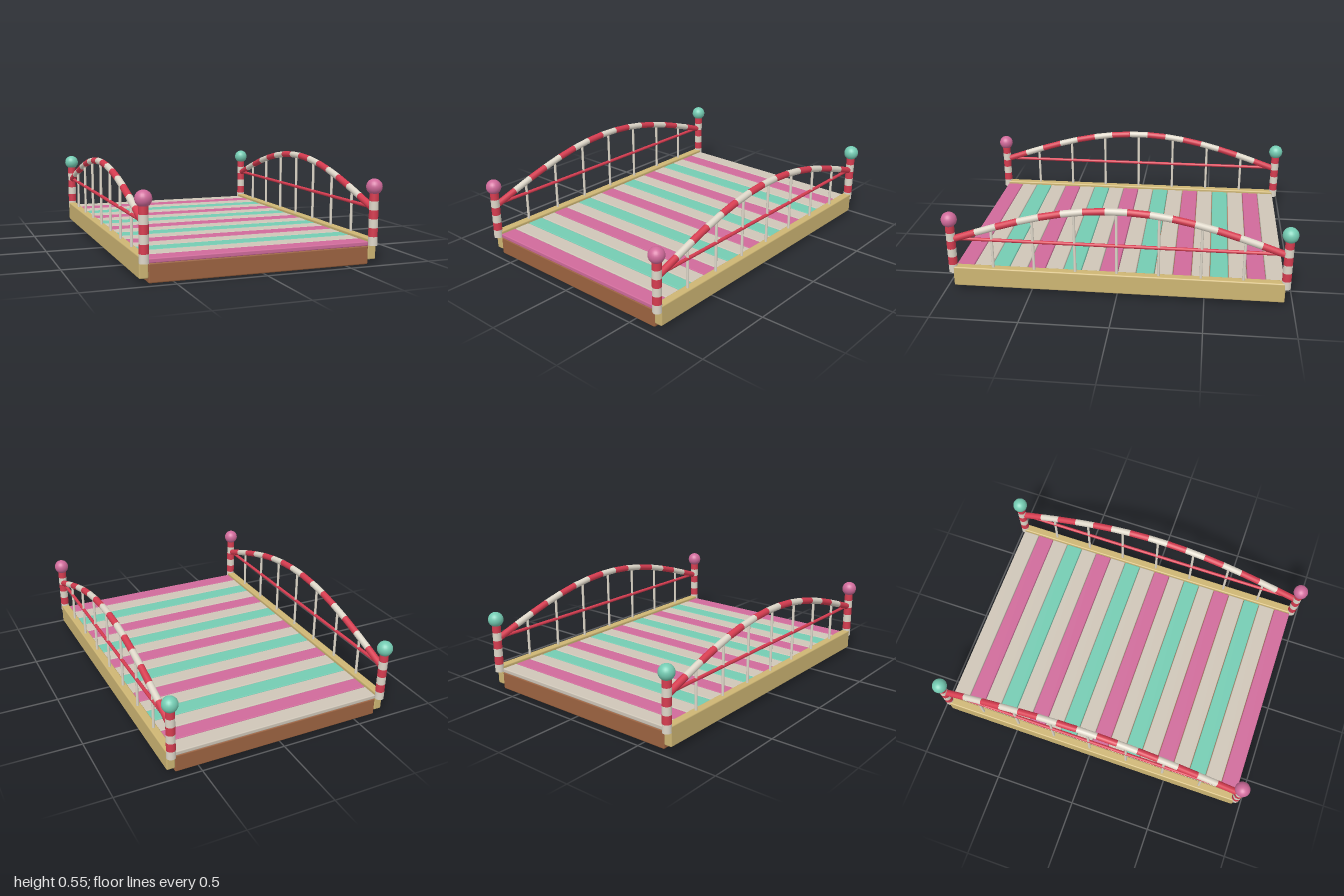
import * as THREE from 'three';
import { RoundedBoxGeometry } from 'three/addons/geometries/RoundedBoxGeometry.js';

const material = (name, color) => {
  const m = new THREE.MeshStandardMaterial({ color });
  m.name = name;
  return m;
};

export function createModel() {
  const brown = material('brown wood', 0x9c6340);
  const tan = material('tan wood', 0xcdb573);
  const beige = material('beige paint', 0xcec5b7);
  const pink = material('pink paint', 0xcf6a9a);
  const teal = material('teal paint', 0x74cbb2);
  const red = material('red stripe', 0xd63c50);
  const cream = material('cream stripe', 0xddd6c8);

  const model = new THREE.Group();
  model.name = 'bridgeSection';

  const add = (parent, name, geometry, mat, x, y, z) => {
    const mesh = new THREE.Mesh(geometry, mat);
    mesh.name = name;
    mesh.position.set(x, y, z);
    parent.add(mesh);
    return mesh;
  };
  // Cylinder running between two points
  const rod = (parent, name, a, b, radius, mat) => {
    const dir = b.clone().sub(a);
    const mid = a.clone().add(b).multiplyScalar(0.5);
    const mesh = add(parent, name, new THREE.CylinderGeometry(radius, radius, dir.length(), 16), mat, mid.x, mid.y, mid.z);
    mesh.quaternion.setFromUnitVectors(new THREE.Vector3(0, 1, 0), dir.normalize());
    return mesh;
  };

  // Base under the planks
  add(model, 'base', new RoundedBoxGeometry(1.27, 0.106, 1.9, 2, 0.008), brown, 0, 0.053, 0);

  // Deck of painted planks, counted from the front
  const deck = new THREE.Group();
  deck.name = 'deck';
  model.add(deck);
  const planks = 18;
  const pitch = 1.9 / planks;
  const plankColors = [pink, beige, teal, beige];
  for (let i = 0; i < planks; i++) {
    add(deck, 'plank', new RoundedBoxGeometry(1.27, 0.026, pitch - 0.003, 2, 0.006),
      plankColors[i % 4], 0, 0.117, 0.95 - pitch * (i + 0.5));
  }

  // Railings on both sides
  const archY = z => 0.32 + 0.21 * Math.cos((z / 0.93) * Math.PI / 2);
  for (const side of [-1, 1]) {
    const railing = new THREE.Group();
    railing.name = side > 0 ? 'leftRailing' : 'rightRailing';
    railing.position.x = side * 0.659;
    model.add(railing);
    const at = (y, z) => new THREE.Vector3(0, y, z);

    add(railing, 'sideBeam', new RoundedBoxGeometry(0.05, 0.12, 1.9, 2, 0.008), tan, 0, 0.086, 0);

    // Striped end posts with ball caps
    for (const end of [-1, 1]) {
      const z = end * 0.954;
      for (let i = 0; i < 6; i++) {
        add(railing, 'postBand', new THREE.CylinderGeometry(0.026, 0.026, 0.05, 24),
          i % 2 ? red : cream, 0, 0.133 + i * 0.05, z);
      }
      add(railing, 'postBall', new THREE.SphereGeometry(0.045, 24, 16), end > 0 ? pink : teal, 0, 0.437, z);
    }

    // Striped arched handrail
    const bands = 15;
    for (let i = 0; i < bands; i++) {
      const z0 = 0.93 - (1.86 * i) / bands;
      const z1 = 0.93 - (1.86 * (i + 1)) / bands;
      rod(railing, 'archBand', at(archY(z0), z0), at(archY(z1), z1), 0.02, i % 2 ? cream : red);
    }

    // Straight middle bar and upright rods
    rod(railing, 'middleBar', at(0.32, -0.94), at(0.32, 0.94), 0.01, red);
    for (let i = -3; i <= 3; i++) {
      const z = i * 0.2385;
      rod(railing, 'upright', at(0.14, z), at(archY(z), z), 0.008, cream);
    }
  }
  return model;
}
